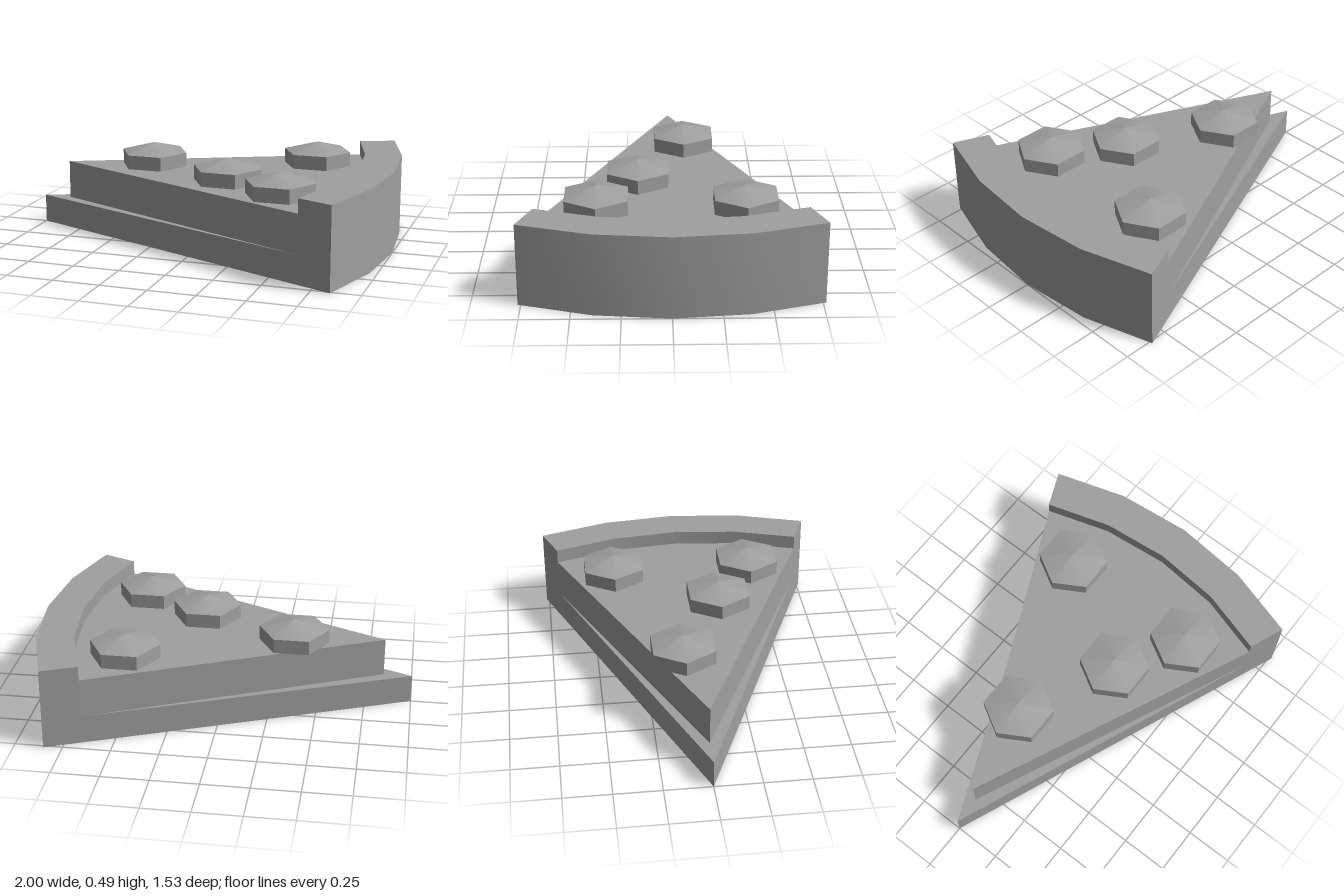
import * as THREE from 'three';
import { toCreasedNormals } from 'three/addons/utils/BufferGeometryUtils.js';

const TIP = -1, HALF_ANGLE = Math.PI / 8, STEPS = 4;

// Points on an arc centred on the tip of the slice
function arc(radius) {
  return Array.from({ length: STEPS + 1 }, (_, i) => {
    const a = -HALF_ANGLE + (2 * HALF_ANGLE * i) / STEPS;
    return new THREE.Vector2(TIP + radius * Math.cos(a), radius * Math.sin(a));
  });
}

// Upright slab with the given floor plan, from y0 to y1
function slab(name, points, y0, y1, material) {
  const geometry = new THREE.ExtrudeGeometry(new THREE.Shape(points), { depth: y1 - y0, bevelEnabled: false });
  geometry.rotateX(-Math.PI / 2);
  geometry.translate(0, y0, 0);
  const mesh = new THREE.Mesh(toCreasedNormals(geometry, 0.4), material);
  mesh.name = name;
  return mesh;
}

// Six-sided topping disc with a low pointed top
function topping(x, z, material) {
  const group = new THREE.Group();
  group.name = 'topping';
  const side = new THREE.CylinderGeometry(0.186, 0.186, 0.077, 6);
  const disc = new THREE.Mesh(toCreasedNormals(side, 0.4), material);
  disc.name = 'toppingDisc';
  disc.position.y = 0.0385;
  const cap = new THREE.Mesh(new THREE.ConeGeometry(0.186, 0.05, 6, 1, true), material);
  cap.name = 'toppingCap';
  cap.position.y = 0.077 + 0.025;
  group.add(disc, cap);
  group.position.set(x, 0.36, z);
  group.rotation.y = Math.PI / 6;
  return group;
}

export function createModel() {
  const model = new THREE.Group();
  model.name = 'slice';
  const grey = new THREE.MeshStandardMaterial({ color: 0xa0a0a0 });
  grey.name = 'grey';

  const inner = arc(1.8), outer = arc(2);

  // Dough base, filling set back at the tip, and raised crust
  model.add(slab('base', [new THREE.Vector2(TIP, 0), ...inner], 0, 0.153, grey));
  model.add(slab('filling', [new THREE.Vector2(-0.847, 0), ...inner], 0.153, 0.36, grey));
  model.add(slab('crust', [...outer, ...inner.slice().reverse()], 0, 0.437, grey));

  // Toppings
  for (const [x, z] of [[-0.365, -0.08], [0.14, 0.17], [0.488, -0.38], [0.488, 0.38]]) {
    model.add(topping(x, z, grey));
  }
  return model;
}
